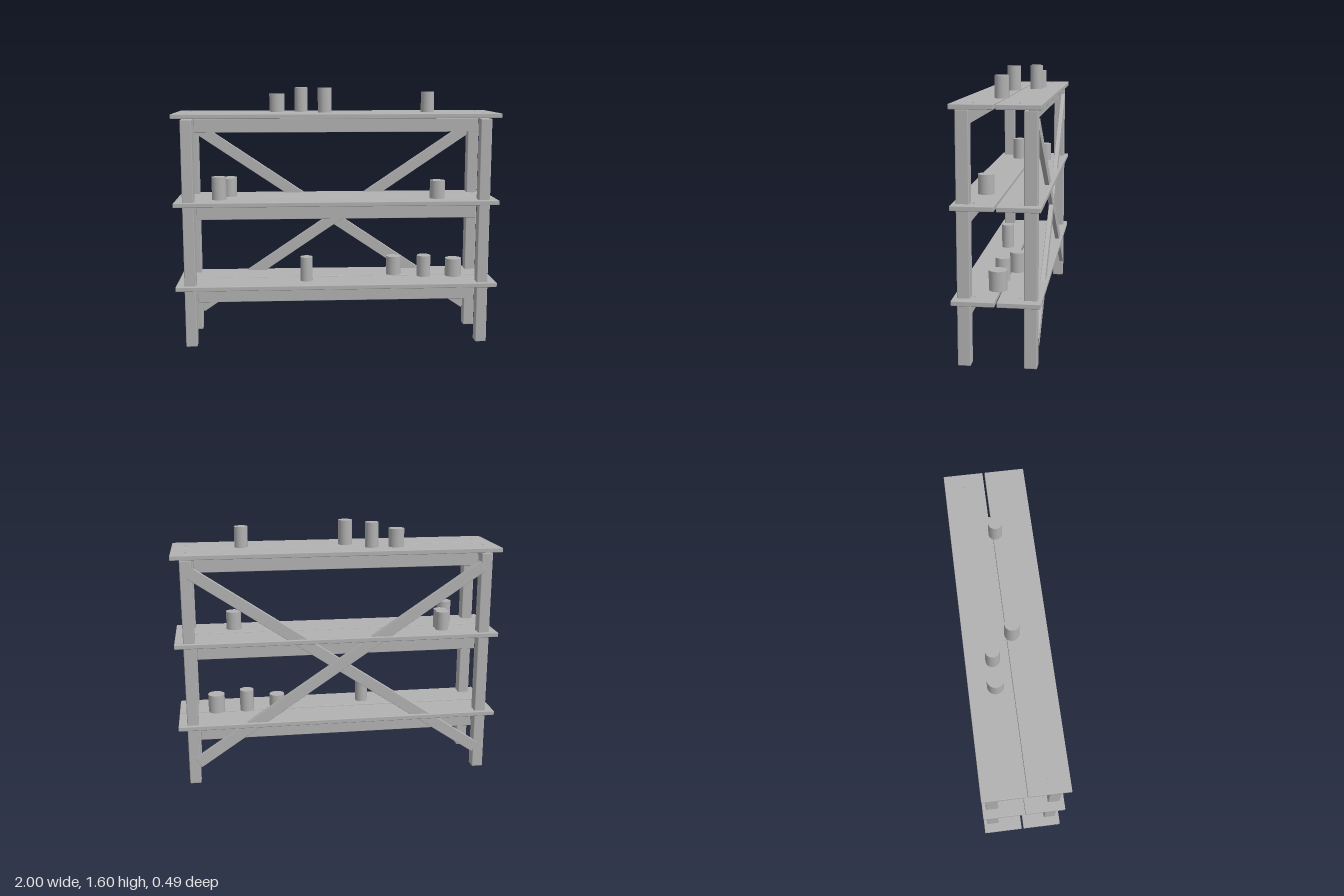
import * as THREE from 'three';
import { RoundedBoxGeometry } from 'three/addons/geometries/RoundedBoxGeometry.js';

export function createModel() {
  const model = new THREE.Group();
  model.name = 'shelfRack';
  const grey = new THREE.MeshStandardMaterial({ color: 0xb2b2b2 });
  grey.name = 'plainGrey';

  function add(parent, name, geometry, x, y, z) {
    const mesh = new THREE.Mesh(geometry, grey);
    mesh.name = name;
    mesh.position.set(x, y, z);
    parent.add(mesh);
    return mesh;
  }
  // board with slightly eased edges
  const board = (w, h, d, r = 0.004) => new RoundedBoxGeometry(w, h, d, 2, r);

  // four posts
  const postGeo = board(0.07, 1.41, 0.073, 0.006);
  for (const x of [-0.91, 0.91])
    for (const [z, name] of [[0.184, 'frontPost'], [-0.182, 'backPost']])
      add(model, name, postGeo, x, 0.705, z);

  // crossed back braces
  const braceGeo = board(2.14, 0.071, 0.027, 0.003);
  [-1, 1].forEach((side) => {
    const brace = add(model, 'backBrace', braceGeo, 0, 0.735, side < 0 ? -0.2095 : -0.208);
    brace.rotation.z = side * 0.593;
  });

  // cups on each shelf: [x, z, radius, height]
  const shelves = [
    { name: 'bottomShelf', top: 0.388, cups: [
      [-0.19, 0.1, 0.039, 0.153], [0.38, -0.04, 0.047, 0.12],
      [0.569, 0.022, 0.044, 0.136], [0.762, 0.022, 0.052, 0.115]] },
    { name: 'middleShelf', top: 0.909, cups: [
      [-0.73, 0.088, 0.045, 0.141], [-0.672, -0.04, 0.041, 0.117],
      [-0.671, -0.1, 0.041, 0.117], [0.634, 0.106, 0.047, 0.113]] },
    { name: 'topShelf', top: 1.443, cups: [
      [-0.367, -0.088, 0.048, 0.112], [-0.214, -0.086, 0.041, 0.152],
      [-0.07, 0.04, 0.043, 0.152], [0.575, 0.024, 0.041, 0.127]] },
  ];
  const plankGeo = board(1.996, 0.028, 0.237);
  const apronGeo = board(1.73, 0.083, 0.028, 0.003);
  const nailGeo = new THREE.CylinderGeometry(0.005, 0.005, 0.006, 10);

  for (const { name, top, cups } of shelves) {
    const shelf = new THREE.Group();
    shelf.name = name;
    shelf.position.y = top;
    model.add(shelf);

    // two planks, each with an apron underneath and a nail at either end
    for (const [plankZ, side] of [[0.1265, 1], [-0.1225, -1]]) {
      add(shelf, 'plank', plankGeo, 0, -0.014, plankZ);
      add(shelf, 'apron', apronGeo, 0, -0.0725, side * 0.166);
      for (const x of [-0.91, 0.91]) add(shelf, 'nail', nailGeo, x, 0, plankZ);
    }
    for (const [x, z, r, h] of cups)
      add(shelf, 'can', new THREE.CylinderGeometry(r, r, h, 32), x, h / 2, z);
  }
  return model;
}
